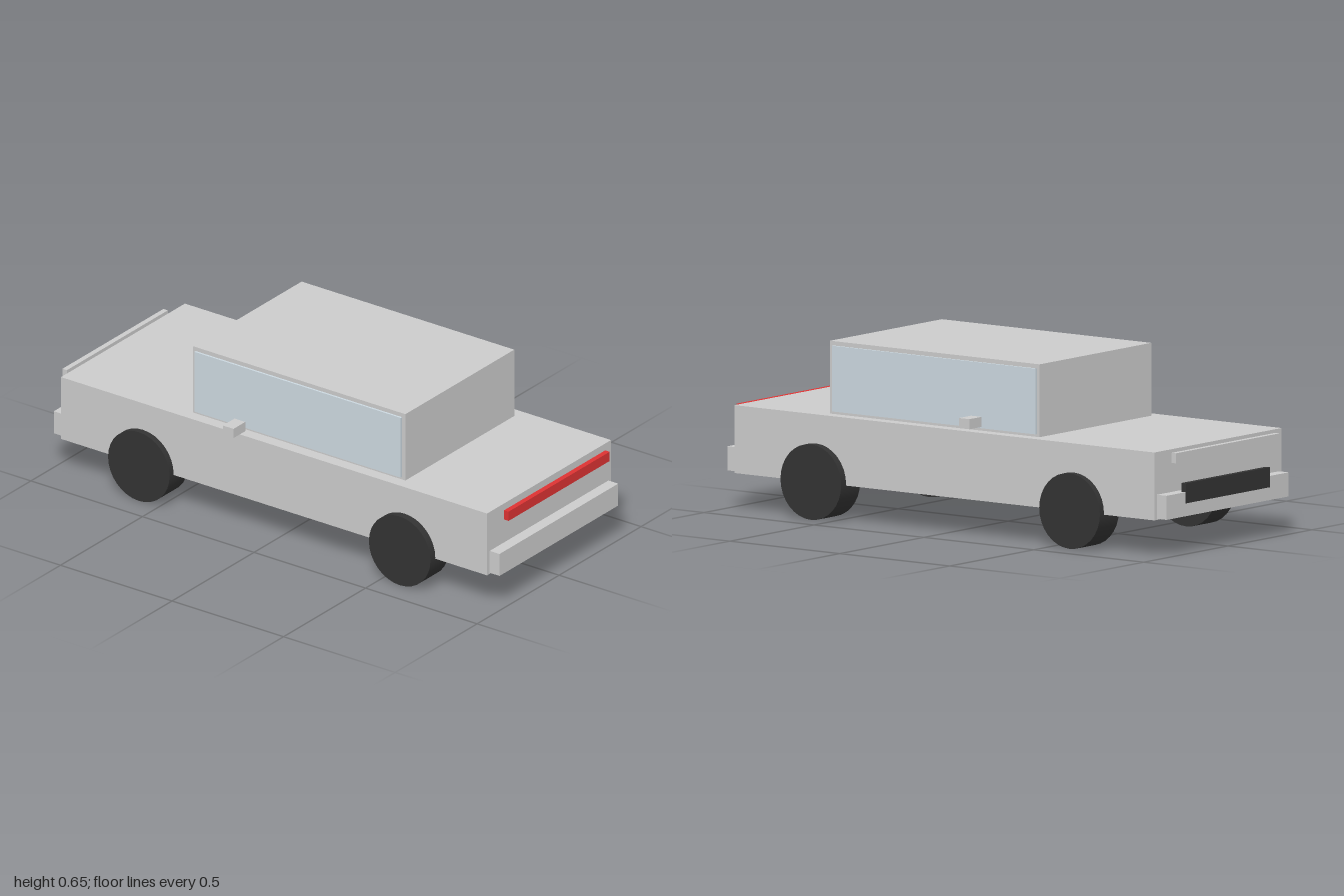
import * as THREE from 'three';

export function createModel() {
  const car = new THREE.Group();
  car.name = 'car';

  const paint = (color) => new THREE.MeshStandardMaterial({ color });
  const grey = paint(0xcccccc);
  const glass = paint(0xccd8e0);
  const dark = paint(0x333333);
  const red = paint(0xdd3333);

  const add = (name, geometry, material, x, y, z) => {
    const mesh = new THREE.Mesh(geometry, material);
    mesh.name = name;
    mesh.position.set(x, y, z);
    car.add(mesh);
    return mesh;
  };

  // Box given by its lower and upper corner
  const box = (name, material, [x0, y0, z0], [x1, y1, z1]) =>
    add(name, new THREE.BoxGeometry(x1 - x0, y1 - y0, z1 - z0), material,
      (x0 + x1) / 2, (y0 + y1) / 2, (z0 + z1) / 2);

  // Body and cabin
  box('body', grey, [-0.378, 0.134, -0.955], [0.378, 0.382, 0.955]);
  box('cabin', grey, [-0.332, 0.382, -0.398], [0.332, 0.648, 0.555]);

  // Bumpers and light bars at both ends; the bars stand clear of the body
  for (const end of [1, -1]) {
    const where = end > 0 ? 'front' : 'back';
    const bumper = box(where + 'Bumper', grey, [-0.362, 0.138, 0.95], [0.362, 0.226, 0.999]);
    const bar = box(where + 'LightBar', end > 0 ? red : grey,
      [-0.308, 0.338, 0.98], [0.308, 0.375, 1]);
    bumper.position.z *= end;
    bar.position.z *= end;
  }

  // Dark grille above the back bumper
  box('grille', dark, [-0.25, 0.185, -1], [0.25, 0.258, -0.98]);

  // Paired parts: side windows, mirrors and wheels
  const wheelGeometry = new THREE.CylinderGeometry(0.138, 0.138, 0.113, 32).rotateZ(Math.PI / 2);
  for (const side of [1, -1]) {
    const where = side > 0 ? 'left' : 'right';
    const pane = box(where + 'Window', glass, [0.322, 0.392, -0.385], [0.34, 0.632, 0.54]);
    const mirror = box(where + 'Mirror', grey, [0.383, 0.405, -0.173], [0.455, 0.442, -0.125]);
    pane.position.x *= side;
    mirror.position.x *= side;
    add(where + 'FrontWheel', wheelGeometry, dark, side * 0.351, 0.138, 0.585);
    add(where + 'BackWheel', wheelGeometry, dark, side * 0.346, 0.138, -0.588);
  }

  return car;
}
